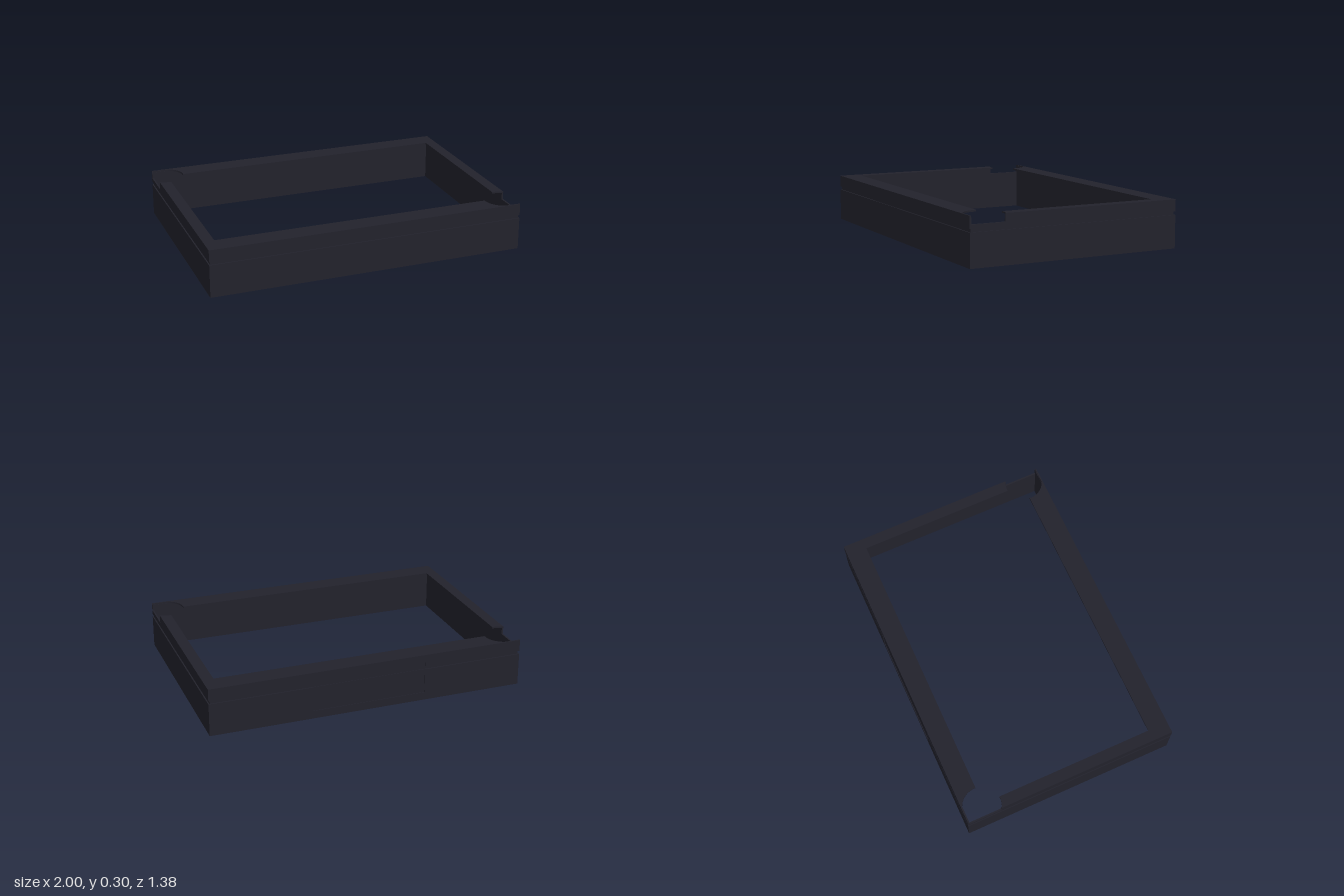
import * as THREE from 'three';

const X = 1, Z = 0.69, T = 0.01;      // outer half sizes, wall thickness
const deg = THREE.MathUtils.degToRad;

// Extrude a plan (shape y = world z) between two heights
function slab(name, shape, y0, y1, material) {
  const geo = new THREE.ExtrudeGeometry(shape, { depth: y1 - y0, bevelEnabled: false, curveSegments: 12 });
  geo.rotateX(Math.PI / 2).translate(0, y1, 0);
  const mesh = new THREE.Mesh(geo, material);
  mesh.name = name;
  return mesh;
}

const polygon = (pts) => new THREE.Shape(pts.map(([x, z]) => new THREE.Vector2(x, z)));

// Closed thin wall, with an optional shallow recess in the back
function wallPlan(inset, recess) {
  const x = X - inset, z = Z - inset, ix = X - T, iz = Z - T, r = 0.36;
  const pts = [[-x, -z]];
  if (recess) pts.push([-r, -z], [-r, -z + recess], [r, -z + recess], [r, -z]);
  pts.push([x, -z], [x, z], [-x, z]);
  const shape = polygon(pts);
  shape.holes.push(polygon([[-ix, -iz], [-ix, iz], [ix, iz], [ix, -iz]]));
  return shape;
}

// Half of the wall, stopping short of the open corner
function openWallPlan() {
  const end = 0.466;
  return polygon([[-X, -Z], [X, -Z], [X, end], [X - T, end], [X - T, -Z + T], [-X, -Z + T]]);
}

// Half of the top lip, with rounded cut-outs at both ends
function lipPlan() {
  const cx = 0.94, cz = 0.57, r = 0.12, strip = -Z + 0.008;
  const s = new THREE.Shape();
  s.moveTo(-X, -Z);
  s.lineTo(X, -Z);
  s.lineTo(X, 0.466);
  s.absarc(cx, cz, r, deg(-60), deg(-95), true);
  s.lineTo(0.93, -0.56);
  s.lineTo(-0.82, -0.56);
  s.absarc(-cx, -cz, r, deg(5), deg(-69), true);
  s.lineTo(-X, strip);
  return s;
}

export function createModel() {
  const group = new THREE.Group();
  group.name = 'rectangularFrame';
  const charcoal = new THREE.MeshStandardMaterial({ color: 0x22222c });
  charcoal.name = 'charcoal';

  // Full wall courses: name, bottom, top, inset, back recess
  const courses = [
    ['baseWall', 0, 0.05, 0, 0],
    ['lowerWall', 0.05, 0.205, 0, 0.004],
    ['groove', 0.205, 0.225, 0.0075, 0],
    ['upperWall', 0.225, 0.25, 0, 0.004],
  ];
  for (const [name, y0, y1, inset, recess] of courses) {
    group.add(slab(name, wallPlan(inset, recess), y0, y1, charcoal));
  }

  // Two matching halves carry the lip and leave opposite corners open
  for (let i = 0; i < 2; i++) {
    const half = new THREE.Group();
    half.name = i ? 'frontTopHalf' : 'backTopHalf';
    half.add(slab('topWall', openWallPlan(), 0.25, 0.29, charcoal));
    half.add(slab('topLip', lipPlan(), 0.29, 0.3, charcoal));
    half.rotation.y = i * Math.PI;
    group.add(half);
  }
  return group;
}
